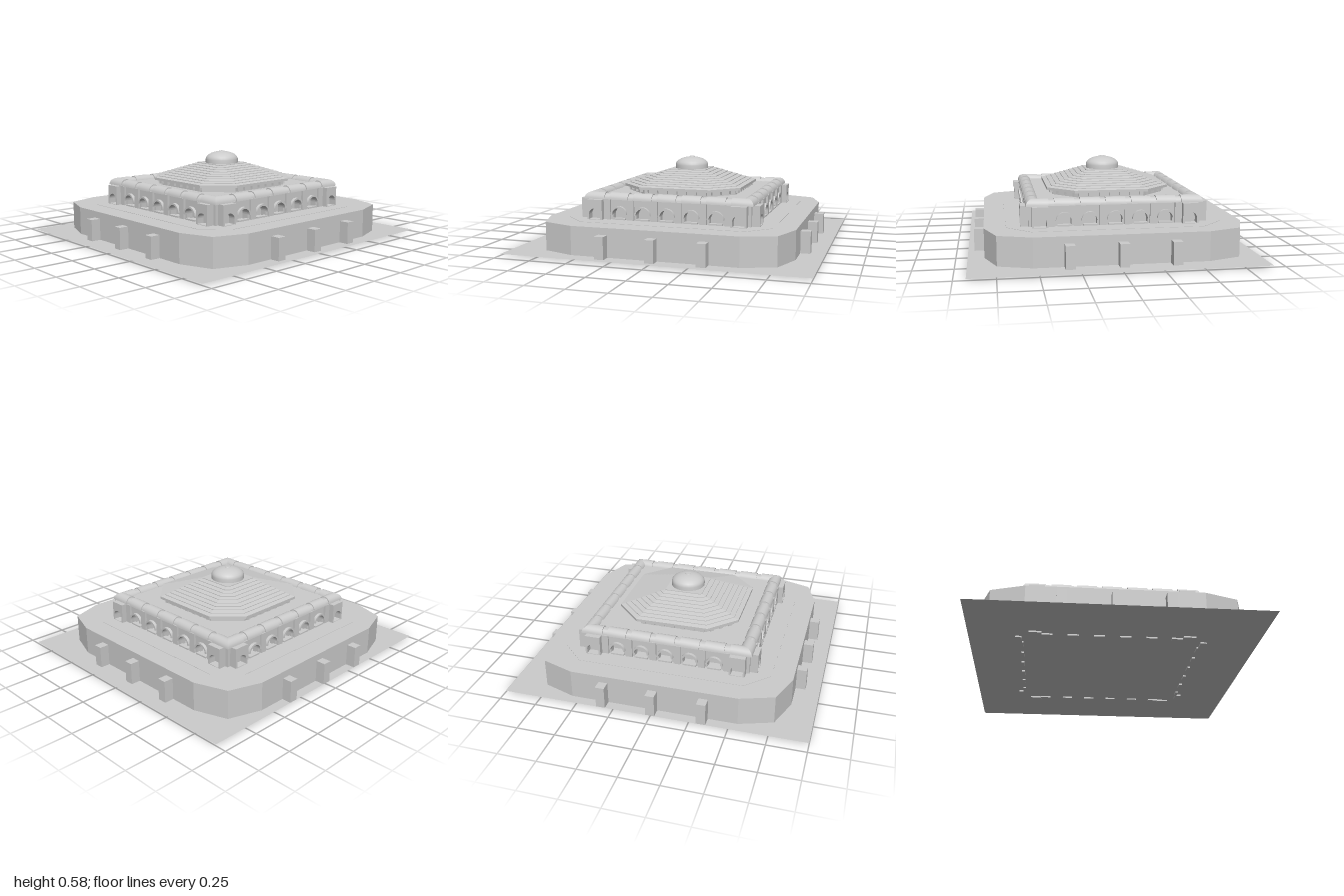
import * as THREE from 'three';
import { toCreasedNormals } from 'three/addons/utils/BufferGeometryUtils.js';

const grey = new THREE.MeshStandardMaterial({ color: 0xcccccc });
const thin = new THREE.MeshStandardMaterial({ color: 0xcccccc, side: THREE.DoubleSide });
const BAY = 0.165;    // arcade spacing
const VAULT_Z = 0.53; // axis of the gallery vault
const EAVE = 0.335;   // springing of the gallery vault

function add(parent, name, geo, x = 0, y = 0, z = 0, mat = grey) {
  const mesh = new THREE.Mesh(geo, mat);
  mesh.name = name;
  mesh.position.set(x, y, z);
  parent.add(mesh);
  return mesh;
}

const box = (w, h, d) => new THREE.BoxGeometry(w, h, d);

// Chamfered square outline: half width h, straight edges reaching to c
const octagon = (h, c) => [[c, h], [h, c], [h, -c], [c, -h], [-c, -h], [-h, -c], [-h, c], [-c, h]];

// Flat slab from an outline, between two heights
function slab(outline, y0, y1) {
  const shape = new THREE.Shape(outline.map(([x, z]) => new THREE.Vector2(x, z)));
  const geo = new THREE.ExtrudeGeometry(shape, { depth: y1 - y0, bevelEnabled: false });
  return geo.rotateX(-Math.PI / 2).translate(0, y0, 0);
}

// Flat-faced skin through octagon rings [half, edge, y], bottom to top
function loft(rings) {
  const pos = [];
  const pts = rings.map(([h, c, y]) => octagon(h, c).map(([x, z]) => [x, y, z]));
  for (let i = 0; i < pts.length - 1; i++) {
    for (let j = 0; j < 8; j++) {
      const k = (j + 1) % 8;
      const a = pts[i][j], b = pts[i][k], c = pts[i + 1][k], d = pts[i + 1][j];
      pos.push(...a, ...b, ...c, ...a, ...c, ...d);
    }
  }
  const geo = new THREE.BufferGeometry();
  geo.setAttribute('position', new THREE.Float32BufferAttribute(pos, 3));
  geo.computeVertexNormals();
  return geo;
}

// Round-headed opening
function archPath(x, r) {
  const p = new THREE.Path();
  p.moveTo(x - r, 0.205);
  p.lineTo(x + r, 0.205);
  p.lineTo(x + r, 0.237);
  p.absarc(x, 0.237, r, 0, Math.PI, false);
  p.closePath();
  return p;
}

// Upright panel with arches, its back at z
function archedPanel(x0, x1, top, arches, r, depth, z) {
  const shape = new THREE.Shape();
  shape.moveTo(x0, 0.2);
  shape.lineTo(x1, 0.2);
  shape.lineTo(x1, top);
  shape.lineTo(x0, top);
  shape.closePath();
  arches.forEach((x) => shape.holes.push(archPath(x, r)));
  const geo = new THREE.ExtrudeGeometry(shape, { depth, bevelEnabled: false, curveSegments: 12 });
  return toCreasedNormals(geo.translate(0, 0, z), 0.6);
}

// Half-round hood over an arch
function hood() {
  const s = new THREE.Shape();
  s.absarc(0, 0, 0.056, 0, Math.PI, false);
  s.absarc(0, 0, 0.044, Math.PI, 0, true);
  s.closePath();
  const geo = new THREE.ExtrudeGeometry(s, { depth: 0.025, bevelEnabled: false, curveSegments: 12 });
  return toCreasedNormals(geo, 0.6);
}

// Raised half-barrel from x0 to x1; mitre = +-1 cuts that end at 45 degrees
function vaultBay(x0, x1, mitre = 0) {
  const geo = new THREE.CylinderGeometry(0.045, 0.045, x1 - x0, 12, 1, false, 0, Math.PI);
  geo.rotateZ(Math.PI / 2).translate((x0 + x1) / 2, EAVE, VAULT_Z);
  const p = geo.attributes.position;
  for (let i = 0; i < p.count; i++) {
    if (mitre && (p.getX(i) - (x0 + x1) / 2) * mitre > 0) p.setX(i, mitre * p.getZ(i));
  }
  return toCreasedNormals(geo, 0.6);
}

// One side of the podium and gallery, facing +z
function buildSide() {
  const side = new THREE.Group();
  side.name = 'side';
  for (const x of [-0.33, 0, 0.33]) add(side, 'podiumPier', box(0.06, 0.145, 0.08), x, 0.0825, 0.865);

  const inner = [-2, -1, 0, 1, 2].map((k) => k * BAY);
  add(side, 'arcadeWall', archedPanel(-0.56, 0.56, 0.34, inner, 0.044, 0.045, 0.515));
  for (const x of inner) {
    add(side, 'archHood', hood(), x, 0.237, 0.555);
    add(side, 'archSill', box(0.09, 0.012, 0.03), x, 0.206, 0.56);
    add(side, 'vaultBay', vaultBay(x - 0.064, x + 0.064));
  }
  for (let k = -2.5; k <= 2.5; k++) {
    add(side, 'arcadePier', box(0.045, 0.137, 0.03), k * BAY, 0.2685, 0.56);
    add(side, 'footing', box(0.07, 0.01, 0.02), k * BAY, 0.005, 0.57);
  }
  // Projecting end bays
  for (const s of [-1, 1]) {
    const x = s * 0.487;
    add(side, 'endBay', archedPanel(x - 0.052, x + 0.052, EAVE, [x], 0.04, 0.05, 0.56));
    add(side, 'endFooting', box(0.08, 0.01, 0.04), x, 0.005, 0.59);
    add(side, 'cornerVault', s > 0 ? vaultBay(0.431, 0.53, 1) : vaultBay(-0.53, -0.431, -1));
  }
  // Brackets below the eaves
  for (let k = -3; k <= 3; k++) add(side, 'eaveBracket', box(0.025, 0.03, 0.03), k * 0.068, 0.375, 0.38);
  const corner = new THREE.Group();
  corner.name = 'cornerBrackets';
  corner.rotation.y = Math.PI / 4;
  for (const k of [-1, 0, 1]) add(corner, 'eaveBracket', box(0.025, 0.03, 0.03), k * 0.07, 0.375, 0.43);
  side.add(corner);
  return side;
}

export function createModel() {
  const model = new THREE.Group();
  model.name = 'domedPavilion';

  add(model, 'ground', new THREE.PlaneGeometry(2, 1.85).rotateX(-Math.PI / 2), 0, 0.01, 0, thin);

  const building = new THREE.Group();
  building.name = 'building';
  building.position.z = -0.02;
  model.add(building);

  // Podium with cut corners and a shallow terrace
  const quarter = [[0.55, 0.84], [0.765, 0.765], [0.84, 0.55]];
  const flip = (sx, sz) => quarter.map(([x, z]) => [x * sx, z * sz]);
  const plan = [...flip(1, 1), ...flip(1, -1).reverse(), ...flip(-1, -1), ...flip(-1, 1).reverse()];
  add(building, 'podium', slab(plan, 0.01, 0.2));
  add(building, 'terrace', slab(octagon(0.7, 0.55), 0.19, 0.202));

  // Gallery core and the continuous vault ring
  add(building, 'galleryCore', box(0.99, 0.155, 0.99), 0, 0.2725, 0);
  const arc = [];
  for (let i = 0; i <= 12; i++) {
    const a = (i / 12) * Math.PI;
    arc.push(new THREE.Vector2((VAULT_Z + 0.038 * Math.cos(a)) * Math.SQRT2, EAVE + 0.038 * Math.sin(a)));
  }
  const ring = new THREE.LatheGeometry(arc, 4, Math.PI / 4);
  add(building, 'vaultRing', toCreasedNormals(ring, 0.6), 0, 0, 0, thin);

  for (let i = 0; i < 4; i++) {
    const side = buildSide();
    side.rotation.y = (i * Math.PI) / 2;
    building.add(side);
  }

  // Drum and tiered roof
  add(building, 'drum', slab(octagon(0.375, 0.22), 0.34, 0.39));
  const tiers = 9;
  const rings = [[0.37, 0.22, 0.385], [0.415, 0.245, 0.385]];
  const at = (t, y) => [0.415 - 0.285 * t, 0.245 - 0.125 * t, y];
  for (let i = 0; i < tiers; i++) {
    const y = 0.402 + (0.096 * i) / tiers;
    rings.push(at(i / tiers, y), at((i + 1) / tiers, y + 0.0065));
  }
  rings.push(at(1, 0.498), [0, 0, 0.498]);
  add(building, 'roof', loft(rings));

  // Dome with a small crown
  const dome = [new THREE.Vector2(0.115, 0.49), new THREE.Vector2(0.115, 0.522)];
  for (let i = 1; i <= 8; i++) {
    const a = (i / 8) * Math.PI / 2;
    dome.push(new THREE.Vector2(Math.max(0, 0.115 * Math.cos(a)), 0.522 + 0.056 * Math.sin(a)));
  }
  add(building, 'dome', toCreasedNormals(new THREE.LatheGeometry(dome, 24), 0.5));
  add(building, 'crown', new THREE.CylinderGeometry(0.018, 0.022, 0.008, 16), 0, 0.577, 0);

  return model;
}
